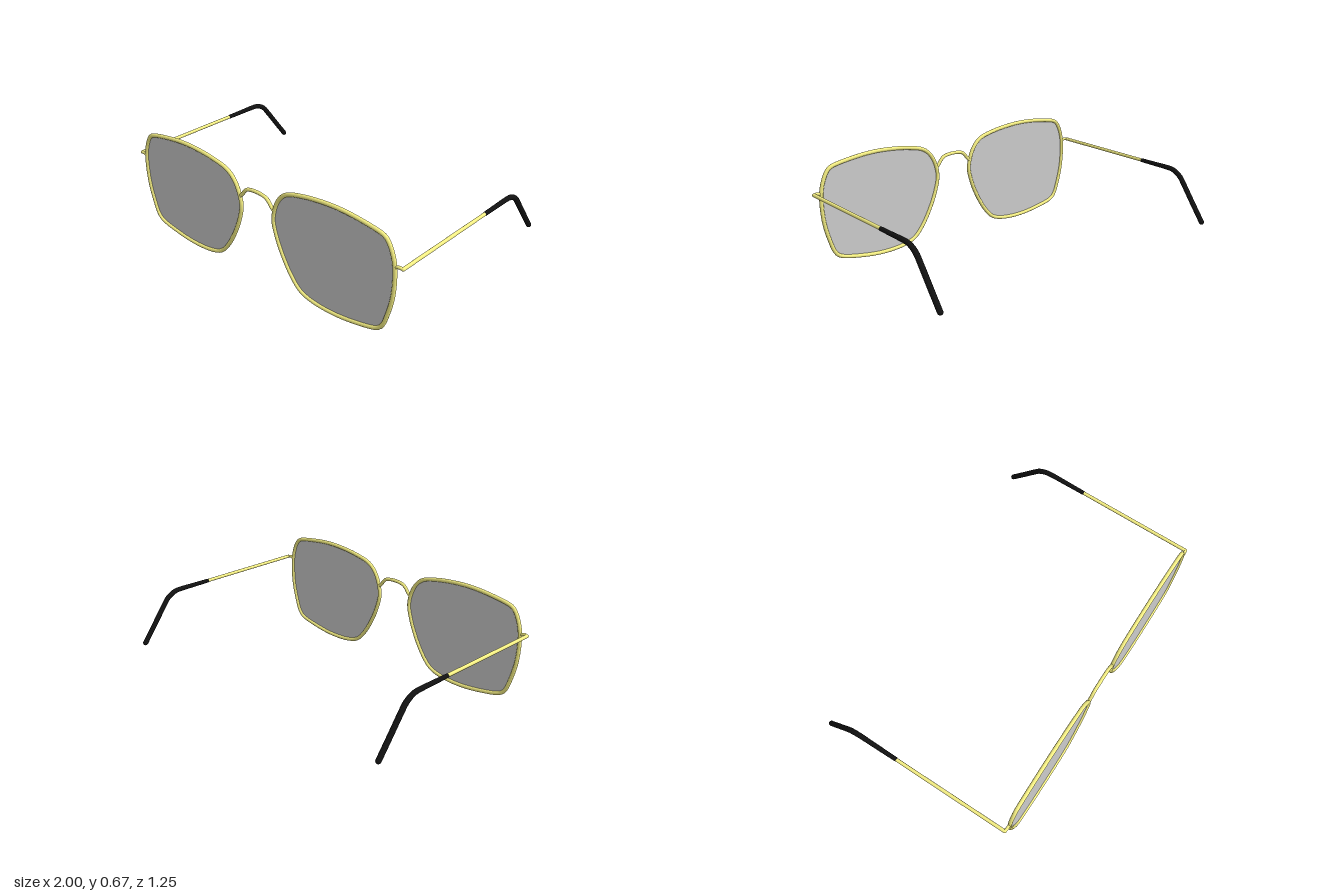
import * as THREE from 'three';

const gold = new THREE.MeshStandardMaterial({ color: 0xf6f084 });
const black = new THREE.MeshStandardMaterial({ color: 0x121212 });
const grey = new THREE.MeshStandardMaterial({ color: 0xcccccc, side: THREE.DoubleSide });

const FRONT_Z = 0.613, WIRE = 0.0118, TEMPLE_X = 0.983, TEMPLE_Y = 0.471;

// Centre line of the left rim, starting at the nose
const RIM = [
  [0.123, 0.42], [0.145, 0.515], [0.183, 0.575], [0.23, 0.609], [0.33, 0.635], [0.44, 0.65],
  [0.564, 0.656], [0.7, 0.647], [0.862, 0.618], [0.884, 0.603], [0.908, 0.565], [0.932, 0.49],
  [0.938, 0.395], [0.928, 0.278], [0.901, 0.171], [0.872, 0.095], [0.84, 0.063], [0.703, 0.029],
  [0.543, 0.0118], [0.393, 0.022], [0.313, 0.05], [0.249, 0.117], [0.185, 0.225], [0.142, 0.33],
];

function add(group, name, geometry, material) {
  const mesh = new THREE.Mesh(geometry, material);
  mesh.name = name;
  group.add(mesh);
  return mesh;
}

// Smooth wire through points, with ball ends; radiusAt(t) lets it taper
function wire(group, name, points, material, radiusAt, segments = 40, closed = false) {
  const curve = new THREE.CatmullRomCurve3(points, closed, 'centripetal');
  const sides = 12;
  const geometry = new THREE.TubeGeometry(curve, segments, 1, sides, closed);
  const pos = geometry.attributes.position, v = new THREE.Vector3();
  for (let i = 0; i <= segments; i++) {
    const centre = curve.getPointAt(i / segments), r = radiusAt(i / segments);
    for (let j = 0; j <= sides; j++) {
      const k = i * (sides + 1) + j;
      v.fromBufferAttribute(pos, k).sub(centre).multiplyScalar(r).add(centre);
      pos.setXYZ(k, v.x, v.y, v.z);
    }
  }
  add(group, name, geometry, material);
  if (closed) return;
  for (const t of [0, 1]) {
    add(group, name + 'End', new THREE.SphereGeometry(radiusAt(t), 12, 8), material)
      .position.copy(curve.getPointAt(t));
  }
}

function createSide(s) {
  const side = new THREE.Group();
  side.name = s > 0 ? 'leftSide' : 'rightSide';
  const p = (x, y, z) => new THREE.Vector3(s * x, y, z);

  // Rim and the flat lens inside it
  const rim = RIM.map(([x, y]) => p(x, y, FRONT_Z));
  wire(side, 'rim', rim, gold, () => WIRE, 120, true);
  const outline = new THREE.CatmullRomCurve3(rim, true, 'centripetal').getPoints(96);
  outline.pop();
  const lens = new THREE.Shape(outline.map((q) => new THREE.Vector2(q.x, q.y)));
  add(side, 'lens', new THREE.ShapeGeometry(lens), grey).position.z = FRONT_Z;

  // Hinge from the rim out to the temple
  wire(side, 'hinge', [
    p(0.934, 0.462, FRONT_Z), p(0.95, 0.471, FRONT_Z), p(0.965, 0.474, FRONT_Z),
    p(TEMPLE_X, TEMPLE_Y, FRONT_Z - 0.003),
  ], gold, () => 0.009, 16);

  // Straight temple wire
  wire(side, 'temple', [p(TEMPLE_X, TEMPLE_Y, FRONT_Z - 0.003), p(TEMPLE_X, TEMPLE_Y, -0.12)],
    gold, () => 0.0105, 2);

  // Sleeve bending down behind the ear
  wire(side, 'earTip', [
    p(TEMPLE_X, TEMPLE_Y, -0.103), p(TEMPLE_X, TEMPLE_Y, -0.22), p(TEMPLE_X, TEMPLE_Y, -0.31),
    p(TEMPLE_X, 0.468, -0.352), p(TEMPLE_X, 0.455, -0.387), p(TEMPLE_X, 0.432, -0.42),
    p(TEMPLE_X, 0.395, -0.45), p(TEMPLE_X, 0.295, -0.525), p(TEMPLE_X, 0.187, -0.607),
  ], black, (t) => 0.0122 + 0.0035 * Math.min(1, t * 2), 48);
  return side;
}

export function createModel() {
  const model = new THREE.Group();
  model.name = 'glasses';
  model.add(createSide(1), createSide(-1));

  // Arched nose bridge
  const half = [[0.13, 0.474], [0.11, 0.493], [0.09, 0.519], [0.07, 0.534], [0.035, 0.542]];
  const arch = [...half.map(([x, y]) => [-x, y]), [0, 0.544], ...half.reverse()];
  wire(model, 'bridge', arch.map(([x, y]) => new THREE.Vector3(x, y, FRONT_Z)), gold, () => 0.0105);
  return model;
}
